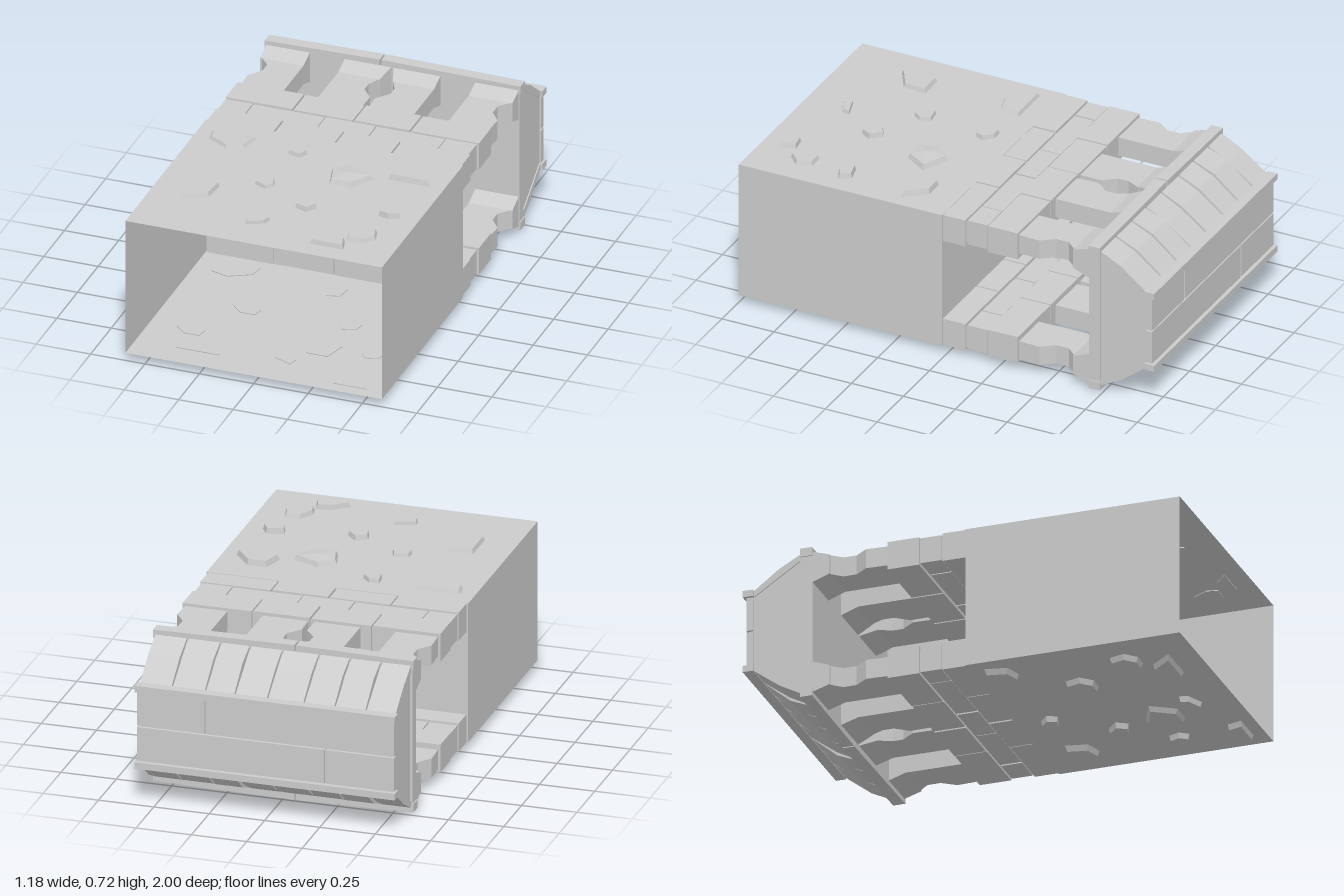
import * as THREE from 'three';
import { ConvexGeometry } from 'three/addons/geometries/ConvexGeometry.js';

const material = new THREE.MeshStandardMaterial({ color: 0xcccccc, flatShading: true });
const shellMaterial = new THREE.MeshStandardMaterial({ color: 0xcccccc, flatShading: true, side: THREE.DoubleSide });

// The two broad faces mirror each other about mid height
const flip = (y, s) => (s > 0 ? y : 0.735 - y);

// Stone outlines as x, z corners
const stones = [
  [[-0.53, 0.11], [-0.32, 0.11], [-0.34, 0.21], [-0.42, 0.235], [-0.52, 0.18]],
  [[-0.16, 0.12], [-0.11, 0.12], [-0.07, 0.16], [-0.09, 0.205], [-0.15, 0.19]],
  [[0.08, 0.27], [0.15, 0.21], [0.28, 0.27], [0.21, 0.38], [0.11, 0.38]],
  [[0.36, 0.15], [0.45, 0.15], [0.53, 0.25], [0.33, 0.25]],
  [[-0.19, 0.44], [-0.12, 0.43], [-0.1, 0.48], [-0.13, 0.52], [-0.19, 0.49]],
  [[-0.44, 0.56], [-0.32, 0.56], [-0.33, 0.67], [-0.44, 0.735]],
  [[0.04, 0.58], [0.09, 0.55], [0.14, 0.6], [0.11, 0.65], [0.05, 0.63]],
  [[0.4, 0.53], [0.48, 0.51], [0.51, 0.56], [0.46, 0.585], [0.41, 0.57]],
  [[-0.11, 0.8], [-0.01, 0.77], [-0.02, 0.81], [-0.1, 0.845]],
  [[0.39, 0.71], [0.46, 0.71], [0.48, 0.78], [0.43, 0.83], [0.36, 0.83], [0.35, 0.78]],
  [[0.22, 0.91], [0.29, 0.85], [0.36, 0.84], [0.38, 0.91]],
];
// Underside stones: outline index, centre x, centre z
const underStones = [
  [10, 0.41, 0.91], [4, 0.41, 0.64], [6, 0.23, 0.43], [2, 0.18, 0.65], [8, 0.07, 0.81], [0, 0.43, 0.2],
  [1, 0.06, 0.17], [9, -0.24, 0.43], [0, -0.42, 0.14], [3, -0.29, 0.83], [9, -0.4, 0.69],
];

// Brick courses: z range, thickness range, x joints
const courses = [
  [-0.088, 0.028, 0.56, 0.69, [-0.587, -0.277, 0.003, 0.263, 0.587]],
  [-0.19, -0.094, 0.567, 0.685, [-0.583, -0.452, -0.12, 0.115, 0.433, 0.578]],
  [-0.34, -0.196, 0.56, 0.69, [-0.586, -0.273, 0.005, 0.267, 0.586]],
];

// Plank outlines for one half; the other half is mirrored in x
const planks = [
  { outline: [[0.38, -0.33], [0.57, -0.33], [0.575, -0.44], [0.53, -0.5], [0.53, -0.56], [0.575, -0.61], [0.38, -0.61]], end: [0.38, 0.58] },
  { outline: [[0.22, -0.33], [0.015, -0.33], [0.012, -0.44], [0.06, -0.5], [0.06, -0.55], [0.03, -0.61], [0.22, -0.61]], end: [0.03, 0.22] },
];

export function createModel() {
  const model = new THREE.Group();
  const add = (name, geometry, mat = material) => {
    const mesh = new THREE.Mesh(geometry, mat);
    mesh.name = name;
    model.add(mesh);
  };
  const box = (name, x0, x1, y0, y1, z0, z1) => {
    const g = new THREE.BoxGeometry(x1 - x0, Math.abs(y1 - y0), z1 - z0);
    add(name, g.translate((x0 + x1) / 2, (y0 + y1) / 2, (z0 + z1) / 2));
  };
  const hull = (name, points) => add(name, new ConvexGeometry(points.map((p) => new THREE.Vector3(...p))));
  // Stretches a y, z profile between two x positions
  const bar = (name, x0, x1, profile) =>
    hull(name, profile.flatMap(([y, z]) => [[x0, y, z], [x1, y, z]]));

  // Hollow wall body, open at the front
  const shell = new THREE.BoxGeometry(1.18, 0.645, 0.98).translate(0, 0.3675, 0.51);
  const index = Array.from(shell.index.array);
  index.splice(24, 6);
  shell.setIndex(index);
  add('wallBody', shell, shellMaterial);

  // Bevelled stones set into both broad faces
  const stone = (outline, dx, dz, s, i) => {
    const cx = outline.reduce((a, p) => a + p[0], 0) / outline.length;
    const cz = outline.reduce((a, p) => a + p[1], 0) / outline.length;
    const top = flip(0.706 + 0.003 * (i % 4), s);
    const points = outline.flatMap(([x, z]) => [
      [x + dx, flip(0.686, s), z + dz],
      [cx + (x - cx) * 0.86 + dx, top, cz + (z - cz) * 0.86 + dz],
    ]);
    if (i === 2) points.push([cx + dx, flip(0.72, s), cz + dz]);
    hull('stone', points);
  };
  stones.forEach((outline, i) => stone(outline, 0, 0, 1, i));
  underStones.forEach(([k, x, z], i) => {
    const outline = stones[k].map(([px, pz]) => [-px, pz]);
    const cx = outline.reduce((a, p) => a + p[0], 0) / outline.length;
    const cz = outline.reduce((a, p) => a + p[1], 0) / outline.length;
    stone(outline, x - cx, z - cz, -1, k === 2 ? 2 : i * 4 + 3);
  });

  const roofJoints = [-0.582, -0.445, -0.305, -0.165, 0, 0.147, 0.28, 0.43, 0.582];
  for (const s of [1, -1]) {
    // Brick courses over a recessed mortar bed
    box('mortar', -0.57, 0.57, flip(0.575, s), flip(0.677, s), -0.33, 0.02);
    for (const [z0, z1, y0, y1, joints] of courses) {
      for (let i = 0; i < joints.length - 1; i++) {
        box('brick', joints[i] + 0.004, joints[i + 1] - 0.004, flip(y0, s), flip(y1 - 0.002 * (i % 2), s), z0, z1);
      }
    }

    // Notched planks with flared ends
    for (const m of [1, -1]) {
      for (const { outline, end } of planks) {
        const shape = new THREE.Shape(outline.map(([x, z]) => new THREE.Vector2(m * x, z)));
        const g = new THREE.ExtrudeGeometry(shape, { depth: 0.09, bevelEnabled: false });
        add('plank', g.rotateX(Math.PI / 2).translate(0, s > 0 ? 0.675 : 0.15, 0));
        const [a, b] = end;
        const inner = a < 0.1 ? 0.005 : a;
        const flare = [];
        for (const [y0, y1, z, x] of [[0.585, 0.675, -0.605, a], [0.555, 0.7, -0.685, inner]]) {
          for (const y of [y0, y1]) flare.push([m * x, flip(y, s), z], [m * b, flip(y, s), z]);
        }
        hull('plankFlare', flare);
      }
    }

    // Eave rim in two lengths, rising slightly towards the joint
    for (const [outer, joint] of [[-0.588, -0.059], [0.588, -0.051]]) {
      const rim = [];
      for (const [x, top] of [[outer, 0.719], [joint, 0.727]]) {
        for (const z of [-0.683, -0.738]) rim.push([x, flip(0.68, s), z], [x, flip(top, s), z]);
      }
      hull('eaveRim', rim);
    }

    // Sloping roof tiles
    for (let i = 0; i < roofJoints.length - 1; i++) {
      const bulge = 0.645 + 0.004 * ((i * 3) % 4);
      const profile = [[0.67, -0.735], [0.698, -0.737], [bulge, -0.835], [0.555, -0.955], [0.53, -0.95]];
      bar('roofTile', roofJoints[i] + 0.005, roofJoints[i + 1] - 0.005, profile.map(([y, z]) => [flip(y, s), z]));
    }

    // Ridge lip
    box('ridgeLip', -0.588, 0.588, flip(0.53, s), flip(0.56, s), -1, -0.953);
  }

  // Roof slab and tapered core
  box('roofSlab', -0.583, 0.583, 0.04, 0.695, -0.736, -0.683);
  bar('roofCore', -0.572, 0.572, [[0.05, -0.73], [0.685, -0.73], [0.535, -0.955], [0.2, -0.955]]);

  // Ridge bricks in two rows with staggered joints
  box('ridgeBed', -0.57, 0.57, 0.2, 0.535, -0.972, -0.95);
  for (const [y0, y1, joint] of [[0.208, 0.364, -0.27], [0.371, 0.527, 0.27]]) {
    box('ridgeBrick', -0.58, joint - 0.005, y0, y1, -0.986, -0.955);
    box('ridgeBrick', joint + 0.005, 0.58, y0, y1, -0.986, -0.955);
  }
  return model;
}
